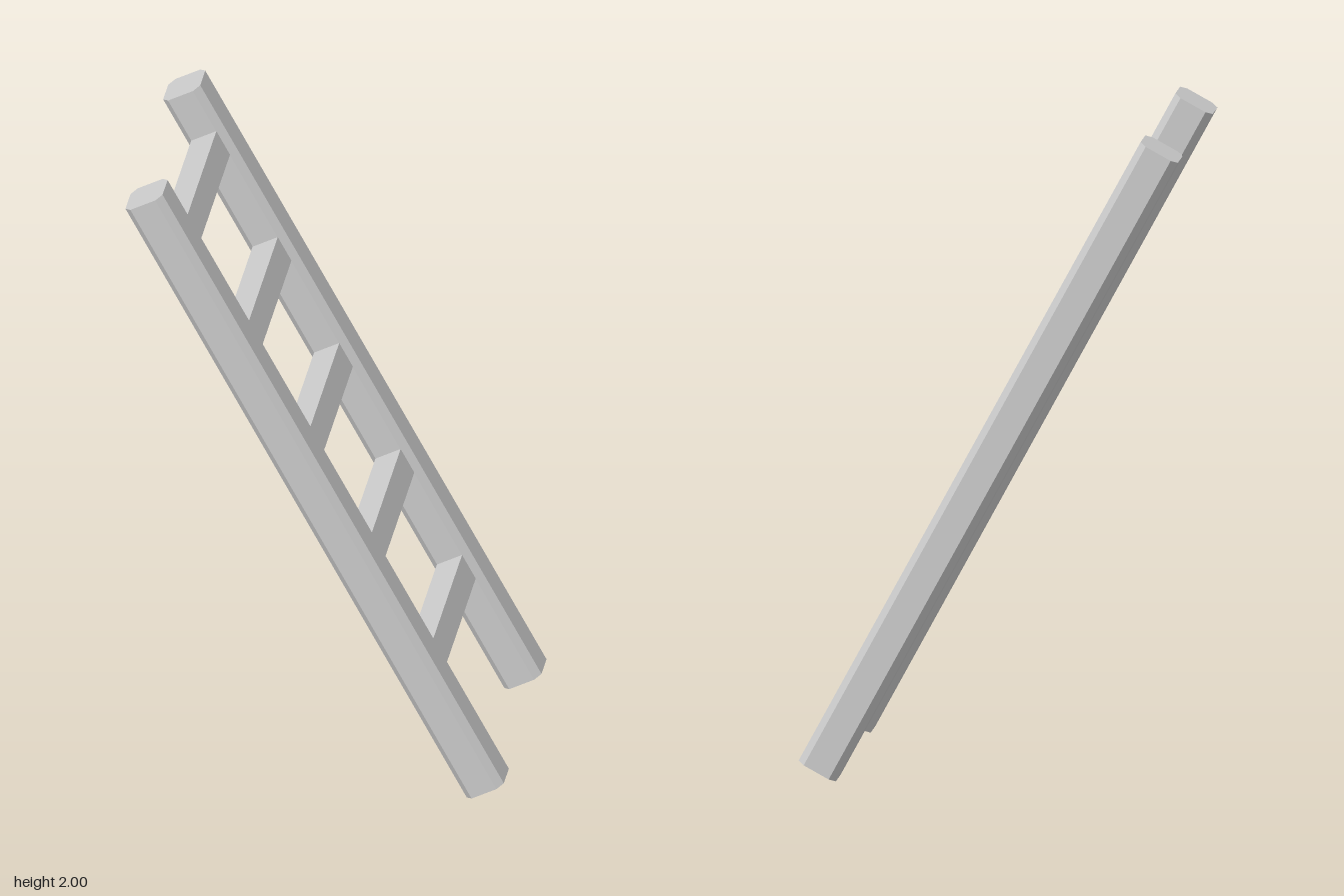
import * as THREE from 'three';

const LENGTH = 2.2, WIDTH = 0.128, DEPTH = 0.13, CHAMFER = 0.021;
const RAIL_Z = 0.329, TILT = Math.atan2(1.038, 1.94);

// Long post with chamfered corners, running along y and centred on the origin
function railGeometry() {
  const x = WIDTH / 2, y = DEPTH / 2, c = CHAMFER;
  const section = new THREE.Shape([
    [x - c, -y], [x, -y + c], [x, y - c], [x - c, y],
    [-x + c, y], [-x, y - c], [-x, -y + c], [-x + c, -y],
  ].map(([a, b]) => new THREE.Vector2(a, b)));
  const geometry = new THREE.ExtrudeGeometry(section, { depth: LENGTH, bevelEnabled: false });
  return geometry.translate(0, 0, -LENGTH / 2).rotateX(-Math.PI / 2);
}

export function createModel() {
  const model = new THREE.Group();
  model.name = 'ladder';
  const material = new THREE.MeshStandardMaterial({ color: 0xcccccc, flatShading: true });

  // Two side rails
  const rail = railGeometry();
  for (const side of [1, -1]) {
    const mesh = new THREE.Mesh(rail, material);
    mesh.name = side > 0 ? 'frontRail' : 'backRail';
    mesh.position.z = side * RAIL_Z;
    model.add(mesh);
  }

  // Five square rungs between the inner faces of the rails
  const rung = new THREE.BoxGeometry(0.087, 0.088, 2 * RAIL_Z - DEPTH);
  for (let i = 0; i < 5; i++) {
    const mesh = new THREE.Mesh(rung, material);
    mesh.name = `rung${i + 1}`;
    mesh.position.y = 0.114 + (i - 2) * 0.396;
    model.add(mesh);
  }

  // Lean the ladder towards -x, standing on y = 0
  model.rotation.z = TILT;
  model.position.y = 1;
  const root = new THREE.Group();
  root.name = 'leaningLadder';
  root.add(model);
  return root;
}
